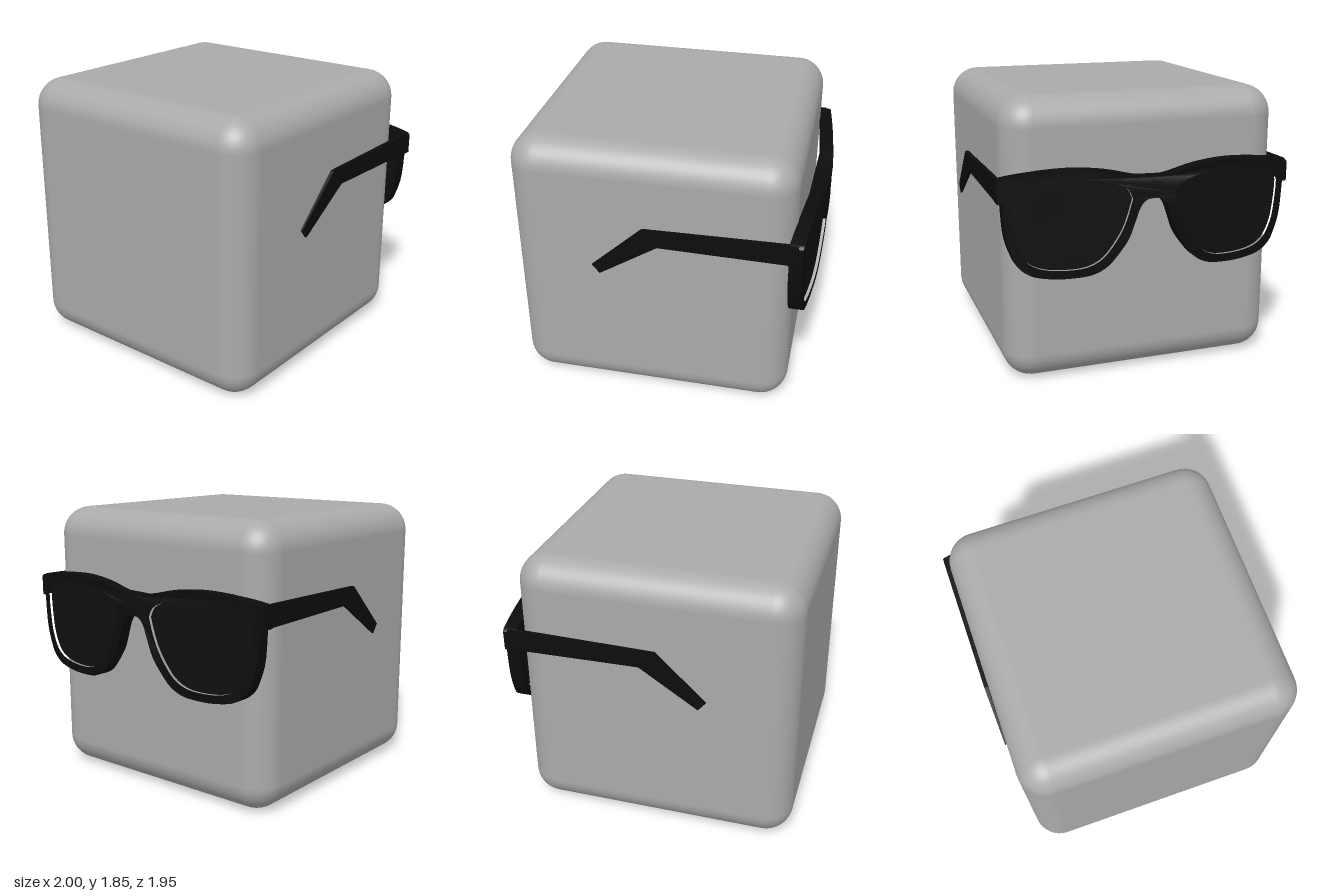
import * as THREE from 'three';
import { toCreasedNormals } from 'three/addons/utils/BufferGeometryUtils.js';
import { RoundedBoxGeometry } from 'three/addons/geometries/RoundedBoxGeometry.js';

const FRAME_DEPTH = 0.09;

const vec2 = (points) => points.map(([x, y]) => new THREE.Vector2(x, y));
const smooth = (points, n) => new THREE.SplineCurve(vec2(points)).getPoints(n);
const mirrored = (points) => points.map((p) => new THREE.Vector2(-p.x, p.y));

// front face of the glasses, wrapping back towards the temples
function faceX(u) {
  const t = Math.max(0, (Math.abs(u) - 0.1) / 0.875);
  return 1 - 0.09 * Math.pow(t, 1.1);
}

// extrude a flat outline, bend it along the wrap and turn it to face +x
function wrappedPlate(shape, depth, inset) {
  const geo = new THREE.ExtrudeGeometry(shape, { depth, bevelEnabled: false });
  const pos = geo.attributes.position;
  for (let i = 0; i < pos.count; i++) {
    const u = pos.getX(i);
    pos.setXYZ(i, faceX(u) - inset - depth + pos.getZ(i), pos.getY(i), -u);
  }
  return toCreasedNormals(geo, 0.6);
}

export function createModel() {
  const model = new THREE.Group();
  model.name = 'cubeWithSunglasses';
  const grey = new THREE.MeshStandardMaterial({ name: 'grey', color: 0xaaaaaa });
  const black = new THREE.MeshStandardMaterial({ name: 'frameBlack', color: 0x0c0c0c });
  const dark = new THREE.MeshStandardMaterial({ name: 'lensBlack', color: 0x0f0f0f });

  const add = (name, geometry, material, parent = model) => {
    const mesh = new THREE.Mesh(geometry, material);
    mesh.name = name;
    parent.add(mesh);
    return mesh;
  };

  // rounded cube
  add('cube', new RoundedBoxGeometry(1.85, 1.85, 1.85, 8, 0.19), grey)
    .position.set(-0.075, 0.925, -0.01);

  const glasses = new THREE.Group();
  glasses.name = 'sunglasses';
  model.add(glasses);

  // frame outline: half of it, then mirrored
  const brow = smooth([[0, 1.35], [0.06, 1.35], [0.14, 1.365], [0.3, 1.4], [0.5, 1.418],
    [0.7, 1.41], [0.88, 1.39], [0.96, 1.375]], 28);
  const rim = smooth([[0.945, 1.23], [0.93, 1.02], [0.89, 0.885], [0.85, 0.815], [0.77, 0.76],
    [0.65, 0.735], [0.53, 0.73], [0.4, 0.742], [0.3, 0.79], [0.22, 0.88], [0.16, 0.97],
    [0.12, 1.08], [0.09, 1.16], [0.05, 1.205], [0, 1.213]], 48);
  const half = [...brow, ...vec2([[0.975, 1.36], [0.975, 1.23]]), ...rim];
  const frameShape = new THREE.Shape([...half, ...mirrored(half.slice(1, -1)).reverse()]);

  // lens outline, used for the openings and the lenses
  const lens = smooth([[0.14, 1.22], [0.18, 1.29], [0.3, 1.335], [0.5, 1.358], [0.7, 1.35],
    [0.85, 1.32], [0.895, 1.25], [0.88, 1.04], [0.85, 0.93], [0.8, 0.85], [0.72, 0.805],
    [0.6, 0.785], [0.45, 0.79], [0.35, 0.83], [0.28, 0.9], [0.21, 1.01], [0.17, 1.11],
    [0.14, 1.22]], 56).slice(0, -1);
  const lensOutlines = [lens, mirrored(lens).reverse()];
  lensOutlines.forEach((outline) => frameShape.holes.push(new THREE.Path(outline)));

  add('frame', wrappedPlate(frameShape, FRAME_DEPTH, 0), black, glasses);
  lensOutlines.forEach((outline, i) => {
    add(i ? 'lensLeft' : 'lensRight',
      wrappedPlate(new THREE.Shape(outline), 0.02, 0.02), dark, glasses);
  });

  // temple arms, thinning towards the bent tip
  const armShape = new THREE.Shape(vec2([[0.88, 1.375], [0.82, 1.375], [-0.1, 1.36],
    [-0.435, 1.05], [-0.385, 0.99], [0, 1.245], [0.82, 1.235], [0.88, 1.235]]));
  for (const side of [1, -1]) {
    const geo = new THREE.ExtrudeGeometry(armShape, { depth: 1, bevelEnabled: false });
    const pos = geo.attributes.position;
    for (let i = 0; i < pos.count; i++) {
      const t = THREE.MathUtils.clamp((pos.getX(i) + 0.43) / 0.5, 0, 1);
      const thickness = THREE.MathUtils.lerp(0.012, 0.03, t);
      pos.setZ(i, side * 0.96 + (pos.getZ(i) - 0.5) * thickness);
    }
    geo.computeVertexNormals();
    add(side > 0 ? 'armFront' : 'armBack', geo, black, glasses);
  }

  return model;
}
